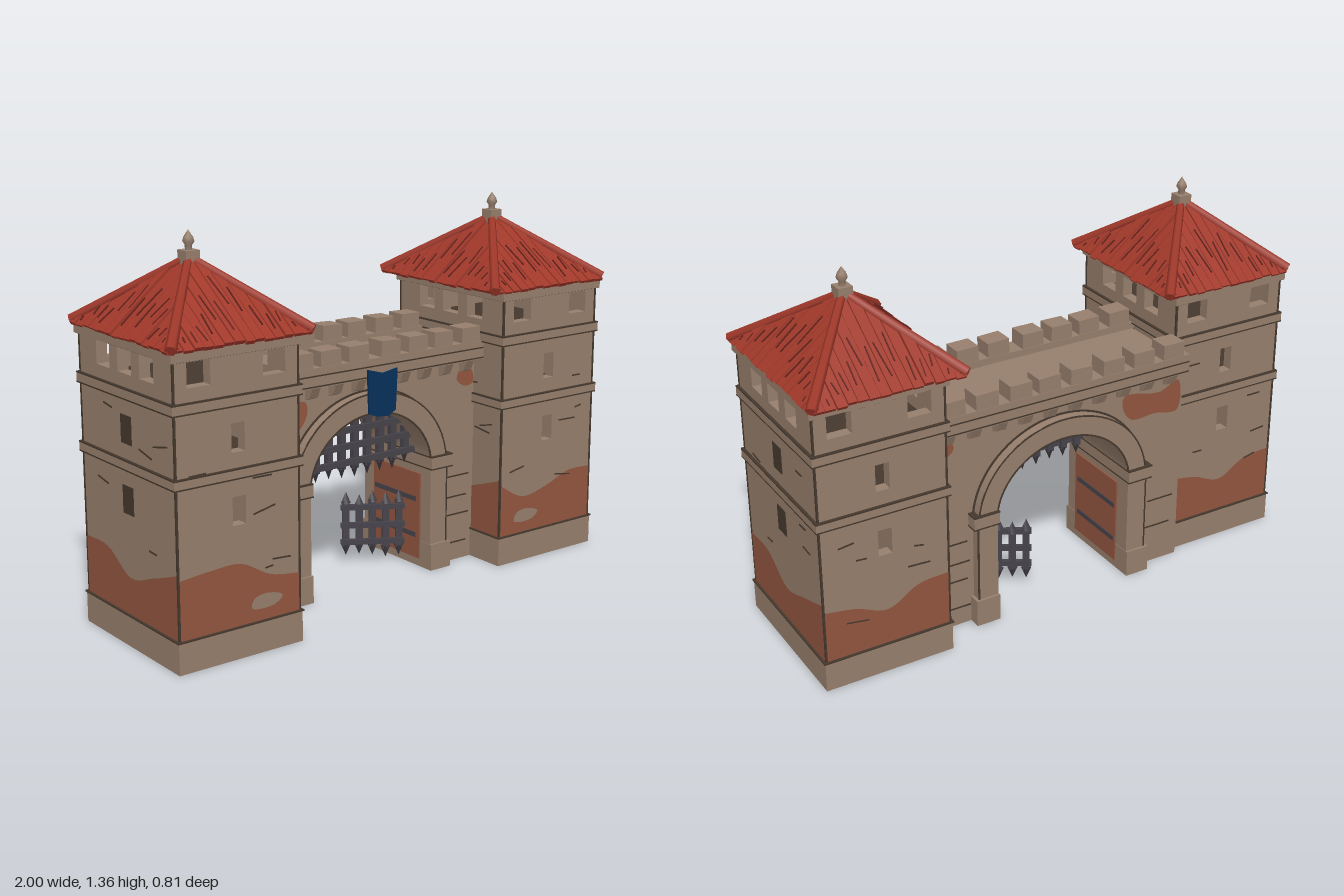
import * as THREE from 'three';

const mat = (name, color, side = THREE.FrontSide) => {
  const m = new THREE.MeshStandardMaterial({ color, side });
  m.name = name;
  return m;
};
const M = {
  stone: mat('stone', 0x967e6c),
  brick: mat('brick', 0x91553f, THREE.DoubleSide),
  roof: mat('roofTile', 0xa0382a),
  gap: mat('roofGap', 0x64221a),
  iron: mat('iron', 0x46424a),
  cloth: mat('bannerCloth', 0x06305a),
  ink: mat('joint', 0x45382d),
};

let seed = 7;
const rnd = () => ((seed = (seed * 16807) % 2147483647) / 2147483647);

function add(parent, name, geo, material, x = 0, y = 0, z = 0) {
  const m = new THREE.Mesh(geo, material);
  m.name = name;
  m.position.set(x, y, z);
  parent.add(m);
  return m;
}
function group(parent, name, x = 0, y = 0, z = 0) {
  const g = new THREE.Group();
  g.name = name;
  g.position.set(x, y, z);
  parent.add(g);
  return g;
}
// box given by its minimum and maximum corners
function box(parent, name, material, x0, x1, y0, y1, z0, z1) {
  return add(parent, name, new THREE.BoxGeometry(x1 - x0, y1 - y0, z1 - z0), material,
    (x0 + x1) / 2, (y0 + y1) / 2, (z0 + z1) / 2);
}
const poly = (pts) => new THREE.Shape(pts.map(([x, y]) => new THREE.Vector2(x, y)));
const rect = (x, y, w, h) => poly([[x - w / 2, y], [x + w / 2, y], [x + w / 2, y + h], [x - w / 2, y + h]]);
const extrude = (shape, depth) =>
  new THREE.ExtrudeGeometry(shape, { depth, bevelEnabled: false, curveSegments: 20 });
const smooth = (pts, closed, n) =>
  new THREE.CatmullRomCurve3(pts.map(([x, y]) => new THREE.Vector3(x, y, 0)), closed).getPoints(n).map((p) => [p.x, p.y]);
const blob = (pts) => new THREE.ShapeGeometry(poly(smooth(pts, true, 32)));

// one roof slope: strips of tile running from the eave up to the hips
function slope(parent, half, dist, height, angle) {
  const len = Math.hypot(dist, height);
  const side = group(parent, 'roofSlope');
  side.rotation.y = angle;
  const n = 2 * Math.round(half / 0.038);
  for (let i = 0; i < n; i++) {
    const u0 = -half + (2 * half * i) / n + rnd() * 0.004;
    const u1 = -half + (2 * half * (i + 1)) / n - rnd() * 0.004;
    const top = (u) => len * (1 - Math.abs(u) / half);
    const low = -0.004 - rnd() * 0.008;
    const tile = add(side, 'roofTile',
      extrude(poly([[u0, low], [u1, low], [u1, top(u1)], [u0, top(u0)]]), 0.008 + rnd() * 0.008), M.roof, 0, 0, dist);
    tile.rotation.x = -Math.atan2(dist, height);
    // slanting split in the tile strip
    const l = 0.4 * Math.min(top(u0), top(u1));
    const c = add(tile, 'tileSplit', new THREE.BoxGeometry(0.004, l, 0.004), M.gap, (u0 + u1) / 2, l * (0.7 + rnd()), 0.0155);
    c.rotation.z = (rnd() - 0.5) * Math.min(0.5, 0.02 / l);
  }
}

function roof(parent, hx, hz, x, z) {
  const g = group(parent, 'roof', x, 1.04, z);
  const h = 0.215;
  const core = new THREE.ConeGeometry(Math.SQRT2, h, 4, 1).rotateY(Math.PI / 4).scale(hx, 1, hz).translate(0, h / 2, 0);
  add(g, 'roofCore', core.toNonIndexed(), M.gap).geometry.computeVertexNormals();
  for (let i = 0; i < 4; i++) slope(g, i % 2 ? hz : hx, i % 2 ? hx : hz, h, (i * Math.PI) / 2);
  // hip ridges
  for (const sx of [-1, 1]) for (const sz of [-1, 1]) {
    const a = new THREE.Vector3(sx * (hx + 0.005), 0.008, sz * (hz + 0.005));
    const b = new THREE.Vector3(0, h + 0.012, 0);
    const ridge = add(g, 'hipRidge', new THREE.CylinderGeometry(0.014, 0.019, a.distanceTo(b), 6), M.roof);
    ridge.position.copy(a).lerp(b, 0.5);
    ridge.quaternion.setFromUnitVectors(new THREE.Vector3(0, 1, 0), b.clone().sub(a).normalize());
  }
  // finial
  box(g, 'finialBlock', M.stone, -0.026, 0.026, h - 0.02, h + 0.035, -0.026, 0.026);
  const prof = [[0.012, 0.035], [0.012, 0.05], [0.02, 0.062], [0.016, 0.076], [0, 0.1]];
  add(g, 'finialTip', new THREE.LatheGeometry(prof.map(([r, y]) => new THREE.Vector2(r, y + h)), 8), M.stone);
}

// brickTops: heights of the exposed brick along each side (front, left, back, right)
function tower(parent, name, cx, cz, hz, brickTops, bareX) {
  const g = group(parent, name, cx, 0, cz);
  const hx = 0.232;
  const inner = cx > 0 ? 3 : 1;
  const ring = (n, m, y0, y1, e) => box(g, n, m, -hx - e, hx + e, y0, y1, -hz - e, hz + e);
  ring('towerBase', M.stone, 0, 0.11, 0.006);
  ring('bandLow', M.stone, 0.605, 0.635, 0.01);
  ring('bandHigh', M.stone, 0.84, 0.872, 0.01);
  ring('wallPlate', M.stone, 1.005, 1.04, 0.012);
  for (const y of [0.106, 0.603, 0.634, 0.838, 0.871, 1.004]) ring('courseJoint', M.ink, y, y + 0.005, 0.0105);
  for (const sx of [-1, 1]) for (const sz of [-1, 1])
    add(g, 'cornerJoint', new THREE.BoxGeometry(0.007, 0.9, 0.007), M.ink, sx * (hx - 0.001), 0.56, sz * (hz - 0.001));
  for (let i = 0; i < 4; i++) {
    const w = i % 2 ? 2 * hz : 2 * hx;
    const d = i % 2 ? hx : hz;
    const face = group(g, 'towerSide');
    face.rotation.y = (i * Math.PI) / 2;
    // wall with window and belfry openings
    const s = rect(0, 0.1, w, 0.92);
    for (const o of i % 2 ? [-0.135, 0, 0.135] : [-0.14, 0.14]) s.holes.push(rect(o, 0.92, 0.085, 0.08));
    if (i % 2 === 0) for (const y of [0.45, 0.69]) s.holes.push(rect(0, y, 0.05, 0.095));
    add(face, 'towerWall', extrude(s, 0.04), M.stone, 0, 0, d - 0.04);
    if (i % 2 && i !== inner) for (const y of [0.455, 0.69])
      box(face, 'blindWindow', M.ink, -0.033, 0.033, y, y + 0.095, d - 0.005, d + 0.002);
    // exposed brick with a wavy upper edge, listed from right to left
    const t = brickTops[i];
    const edge = smooth([...t].reverse().map((y, k) => [w / 2 - (w * k) / (t.length - 1), y]), false, 24);
    add(face, 'exposedBrick', new THREE.ShapeGeometry(poly([[-w / 2, 0.111], [w / 2, 0.111], ...edge])), M.brick, 0, 0, d + 0.002);
    // patch of stone left inside the front brick
    if (i === 0) add(face, 'stonePatch', blob([[-0.06, 0.16], [0.03, 0.155], [0.06, 0.18], [0, 0.2], [-0.05, 0.19]]),
      M.stone, bareX, 0, d + 0.004);
    // cracks
    for (let k = 0; k < 5; k++) {
      const c = add(face, 'crack', new THREE.BoxGeometry(0.03 + rnd() * 0.06, 0.005, 0.004), M.ink,
        (rnd() < 0.5 ? -1 : 1) * w * (0.18 + rnd() * 0.2), 0.15 + rnd() * 0.65, d + 0.001);
      c.rotation.z = (rnd() - 0.5) * 0.5;
    }
  }
  return g;
}

const CY = 0.4, RX = 0.275, RY = 0.245;

function gateWall(parent) {
  const g = group(parent, 'gateWall');
  // wall body with arched passage
  const s = new THREE.Shape();
  s.moveTo(-0.52, 0).lineTo(-RX, 0).lineTo(-RX, CY);
  s.absellipse(0, CY, RX, RY, Math.PI, 0, true);
  s.lineTo(RX, 0).lineTo(0.52, 0).lineTo(0.52, 0.8).lineTo(-0.52, 0.8);
  add(g, 'wallBody', extrude(s, 0.32), M.stone, 0, 0, -0.24);
  // arch surround with dark joints along both rims
  const arch = (name, m, out, inn, z0, z1) => {
    const a = new THREE.Shape();
    a.absellipse(0, CY, RX + out, RY + out, 0, Math.PI, false);
    a.absellipse(0, CY, RX + inn, RY + inn, Math.PI, 0, true);
    add(g, name, extrude(a, z1 - z0), m, 0, 0, z0);
  };
  arch('archSurround', M.stone, 0.073, -0.004, -0.275, 0.115);
  for (const [z, zf] of [[-0.243, -0.277], [0.079, 0.113]]) {
    arch('archJoint', M.ink, 0.08, 0.07, z, z + 0.004);
    arch('archEdge', M.ink, 0.073, 0.068, zf, zf + 0.004);
    arch('archEdge', M.ink, 0.002, -0.004, zf, zf + 0.004);
  }
  for (const sx of [-1, 1]) {
    const p = (n, m, x0, x1, ...r) => box(g, n, m, Math.min(sx * x0, sx * x1), Math.max(sx * x0, sx * x1), ...r);
    p('pillar', M.stone, 0.271, 0.35, 0, CY, -0.275, 0.115);
    p('pillarFoot', M.stone, 0.269, 0.362, 0, 0.1, -0.285, 0.125);
    p('pillarCapital', M.stone, 0.268, 0.368, 0.39, 0.435, -0.285, 0.125);
    for (const y of [0.387, 0.433]) p('capitalJoint', M.ink, 0.267, 0.369, y, y + 0.005, -0.286, 0.126);
    for (const z of [-0.276, 0.112]) p('pillarEdge', M.ink, 0.345, 0.351, 0.1, 0.39, z, z + 0.004);
    // open door leaf with iron straps
    p('doorLeaf', M.brick, 0.265, 0.272, 0.03, 0.36, -0.21, 0.06);
    for (const y of [0.11, 0.25]) p('doorStrap', M.iron, 0.262, 0.266, y, y + 0.018, -0.2, 0.04);
  }
  // parapets, corbels and merlons on both faces
  box(g, 'wallWalk', M.stone, -0.5, 0.5, 0.78, 0.82, -0.25, 0.09);
  for (const [z0, z1, out] of [[0.05, 0.13, 1], [-0.29, -0.21, -1]]) {
    box(g, 'parapet', M.stone, -0.51, 0.51, 0.775, 0.845, z0, z1);
    for (const y of [0.778, 0.815]) box(g, 'parapetJoint', M.ink, -0.509, 0.509, y, y + 0.005, z0 - 0.001, z1 + 0.001);
    for (let i = 0; i < 8; i++) {
      const x = -0.437 + i * 0.125 + (rnd() - 0.5) * 0.02;
      const m = box(g, 'merlon', M.stone, x - 0.043, x + 0.043, 0.83, 0.9, z0 + 0.002, z1 - 0.002);
      m.rotation.z = (rnd() - 0.5) * 0.08;
    }
    for (let i = 0; i < 10; i++) {
      const c = add(g, 'corbel', extrude(poly([[0, 0.725], [0.025, 0.735], [0.045, 0.778], [0, 0.778]]), 0.036), M.stone,
        -0.45 + i * 0.1 + out * 0.018, 0, out > 0 ? 0.08 : -0.24);
      c.rotation.y = (-out * Math.PI) / 2;
    }
  }
  // exposed brick patches, upper ones on both faces
  const brick = (z, pts) => add(g, 'exposedBrick', blob(pts), M.brick, 0, 0, z);
  for (const z of [0.082, -0.242]) {
    brick(z, [[-0.5, 0.61], [-0.4, 0.62], [-0.3, 0.62], [-0.26, 0.68], [-0.27, 0.72], [-0.42, 0.7], [-0.5, 0.73]]);
    brick(z, [[0.42, 0.7], [0.46, 0.67], [0.5, 0.68], [0.49, 0.73], [0.44, 0.74]]);
  }
  brick(0.082, [[-0.5, 0.28], [-0.42, 0.27], [-0.37, 0.29], [-0.38, 0.34], [-0.44, 0.36], [-0.47, 0.4], [-0.5, 0.41]]);
  // stone joints beside the arch
  for (const [x, y] of [[-0.43, 0.15], [-0.44, 0.26], [0.43, 0.18], [0.42, 0.25], [0.43, 0.33], [0.42, 0.07]])
    for (const z of [0.081, -0.241]) add(g, 'stoneJoint', new THREE.BoxGeometry(0.11, 0.005, 0.004), M.ink, x, y, z);
  // hanging banner
  add(g, 'banner', extrude(poly([[-0.04, 0.81], [-0.034, 0.65], [0, 0.637], [0.05, 0.632], [0.085, 0.65], [0.092, 0.8], [0.03, 0.79]]), 0.008),
    M.cloth, 0, 0, 0.132);
}

// vertical iron bar, pointed below and optionally above
function bar(parent, x, y0, y1, z, topSpike) {
  box(parent, 'ironBar', M.iron, x - 0.013, x + 0.013, y0 + 0.035, topSpike ? y1 - 0.035 : y1, z - 0.01, z + 0.01);
  const spike = () => new THREE.ConeGeometry(0.019, 0.045, 4);
  add(parent, 'barSpike', spike(), M.iron, x, y0 + 0.0225, z).rotation.x = Math.PI;
  if (topSpike) add(parent, 'barSpike', spike(), M.iron, x, y1 - 0.0225, z);
}

function ironwork(parent) {
  const p = group(parent, 'portcullis', 0, 0, 0.01);
  for (let i = -4; i <= 4; i++) {
    const x = i * 0.058;
    bar(p, x, 0.385 + rnd() * 0.015, CY + RY * Math.sqrt(1 - (x / RX) ** 2) + 0.01, 0, false);
  }
  for (const y of [0.45, 0.51, 0.57, 0.615]) {
    const h = RX * Math.sqrt(1 - ((y - CY) / RY) ** 2);
    box(p, 'crossBar', M.iron, -h, h, y - 0.011, y + 0.011, 0.004, 0.02);
  }
  // loose grate standing askew in the passage
  const s = group(parent, 'spikedGrate', 0.162, 0, -0.09);
  s.rotation.y = -0.54;
  for (let i = -2; i <= 2; i++) bar(s, i * 0.05, 0.015 + rnd() * 0.02, 0.265 + rnd() * 0.02, 0, true);
  for (const y of [0.085, 0.15, 0.22]) box(s, 'crossBar', M.iron, -0.12, 0.12, y - 0.01, y + 0.01, 0.004, 0.02);
}

export function createModel() {
  seed = 7;
  const g = new THREE.Group();
  g.name = 'gatehouse';
  const side = [0.31, 0.31, 0.24, 0.28, 0.33];
  const back = [0.3, 0.28, 0.24, 0.3, 0.31];
  roof(tower(g, 'rightTower', -0.738, 0.083, 0.29, [[0.31, 0.32, 0.32, 0.26, 0.24], side, back, side], 0.1), 0.258, 0.304, 0.013, 0.004);
  roof(tower(g, 'leftTower', 0.738, -0.058, 0.293, [[0.31, 0.25, 0.27, 0.31, 0.31], side, back, side], -0.1), 0.265, 0.317, -0.024, -0.01);
  gateWall(g);
  ironwork(g);
  return g;
}
